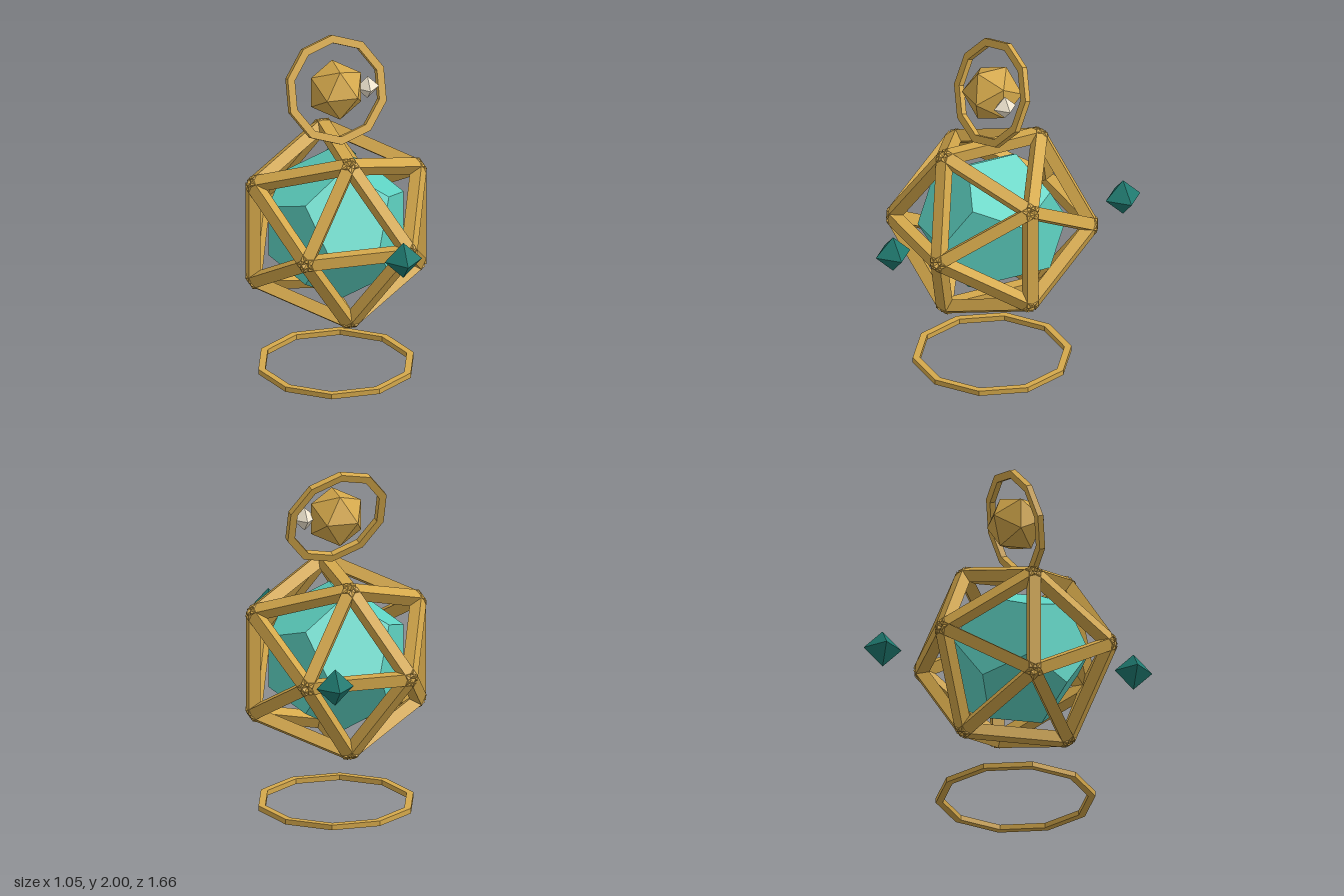
import * as THREE from 'three';

const material = (color) => new THREE.MeshStandardMaterial({ color, flatShading: true });

export function createModel() {
  const model = new THREE.Group();
  const gold = material(0xd4a84b);
  const brightTeal = material(0x5fd4c4);
  const darkTeal = material(0x1f7a70);
  const ivory = material(0xf0e6d0);
  const PHI = (1 + Math.sqrt(5)) / 2;

  function add(name, geometry, mat, x, y, z, parent = model) {
    const mesh = new THREE.Mesh(geometry, mat);
    mesh.name = name;
    mesh.position.set(x, y, z);
    parent.add(mesh);
    return mesh;
  }

  // Ten-sided flat ring, centred on its own thickness
  function ringGeometry(outer, inner, depth, turn) {
    const corners = (r) => Array.from({ length: 10 }, (_, i) => {
      const a = turn + (i * Math.PI) / 5;
      return new THREE.Vector2(r * Math.cos(a), r * Math.sin(a));
    });
    const shape = new THREE.Shape(corners(outer));
    shape.holes.push(new THREE.Path(corners(inner)));
    return new THREE.ExtrudeGeometry(shape, { depth, bevelEnabled: false }).translate(0, 0, -depth / 2);
  }

  // Base ring on the ground
  add('baseRing', ringGeometry(0.45, 0.41, 0.03, 0), gold, 0, 0.015, 0).rotation.x = -Math.PI / 2;

  // Icosahedral cage: one beam per edge, its flat face turned outward
  const cage = new THREE.Group();
  cage.name = 'cage';
  cage.position.y = 0.88;
  model.add(cage);
  const s = 0.297;
  const corners = [];
  for (const a of [-s, s]) {
    for (const b of [-s * PHI, s * PHI]) {
      corners.push(new THREE.Vector3(0, b, a), new THREE.Vector3(b, a, 0), new THREE.Vector3(a, 0, b));
    }
  }
  const beam = new THREE.BoxGeometry(0.068, 0.068, 2 * s);
  corners.forEach((p, i) => {
    for (const q of corners.slice(i + 1)) {
      if (p.distanceTo(q) > 2.1 * s) continue;
      const middle = p.clone().add(q).multiplyScalar(0.5);
      const along = q.clone().sub(p).normalize();
      const outward = middle.clone().normalize();
      const side = outward.clone().cross(along);
      const mesh = add('cageBeam', beam, gold, middle.x, middle.y, middle.z, cage);
      mesh.quaternion.setFromRotationMatrix(new THREE.Matrix4().makeBasis(side, outward, along));
    }
  });

  // Crystal core inside the cage
  add('core', new THREE.DodecahedronGeometry(0.42), brightTeal, 0, 0.88, 0).rotation.y = Math.PI / 2;

  // Head with a single eye, and a tilted halo around it
  add('head', new THREE.IcosahedronGeometry(0.17), gold, 0, 1.705, 0).rotation.y = Math.PI / 2;
  add('eye', new THREE.OctahedronGeometry(0.068), ivory, 0.18, 1.705, 0.01);
  add('halo', ringGeometry(0.31, 0.265, 0.035, Math.PI / 10), gold, 0, 1.705, 0).rotation.set(-0.35, 0.17, 0);

  // Floating shards, front and back
  for (const side of [1, -1]) {
    add('shard', new THREE.OctahedronGeometry(0.108), darkTeal, 0.2, 0.95, side * 0.72);
  }

  return model;
}
